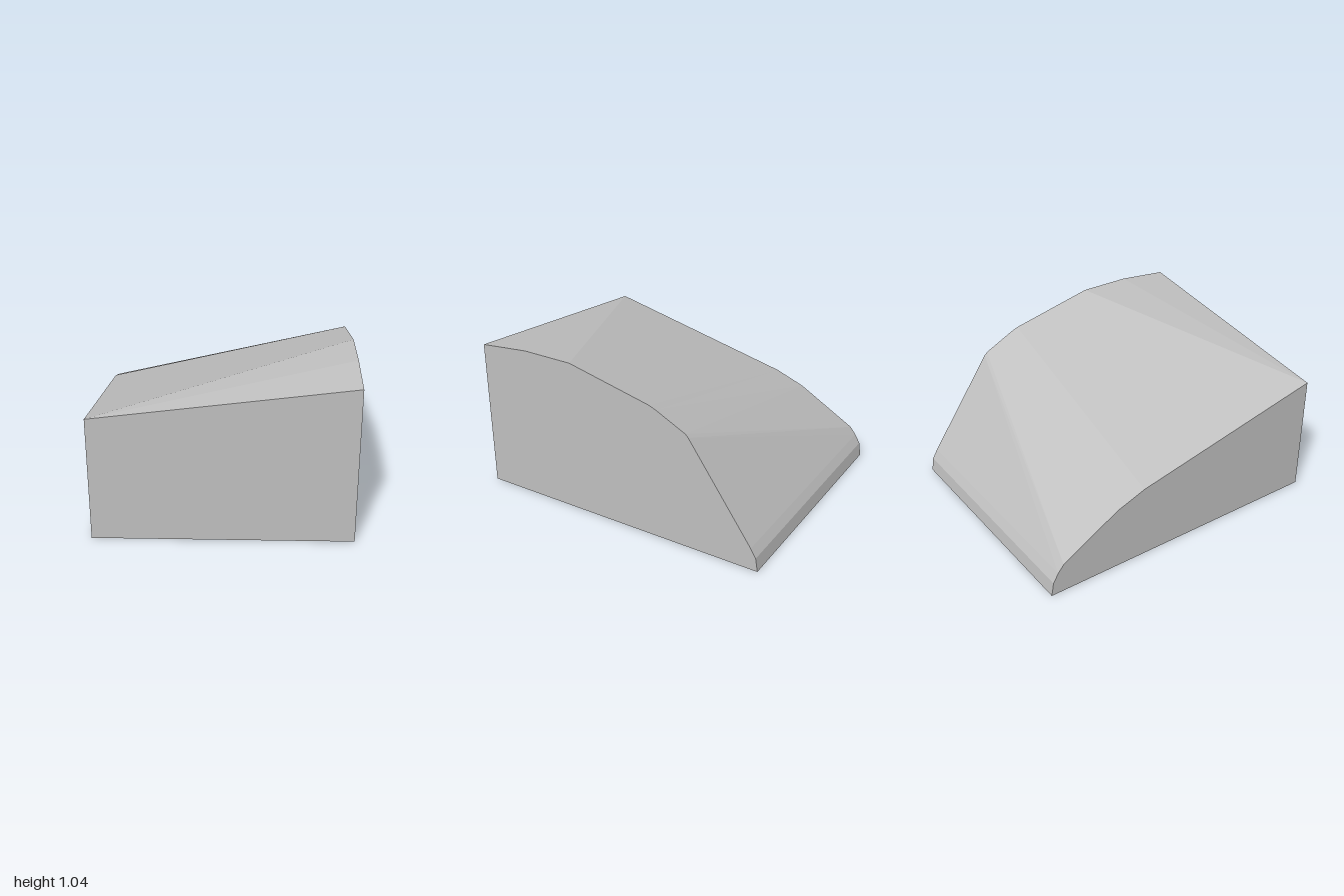
import * as THREE from 'three';

// Matching [z, y] points of the two end outlines, from the front foot over the top to the back foot.
// A repeated point makes the strip between the ends close to a triangle.
const tallEnd = [
  [1, 0], [1, 1.005], [0.66, 1.04], [0.32, 1.04], [-0.25, 0.91],
  [-0.3, 0.89], [-0.5, 0.79], [-0.52, 0.77], [-0.95, 0.15], [-0.985, 0.09], [-1, 0],
];
const lowEnd = [
  [1, 0], [1, 0.8], [1, 0.8], [1, 0.8], [-0.32, 0.5],
  [-0.52, 0.425], [-0.91, 0.2], [-0.95, 0.15], [-0.95, 0.15], [-0.985, 0.09], [-1, 0],
];
const halfWidth = 0.795;

export function createModel() {
  const place = (outline, x) => outline.map(([z, y]) => new THREE.Vector3(x, y, z));
  const p = place(tallEnd, halfWidth);
  const q = place(lowEnd, -halfWidth);
  const positions = [];

  // Adds one flat triangle, skipping those with no area
  const triangle = (a, b, c) => {
    if (new THREE.Triangle(a, b, c).getArea() < 1e-6) return;
    for (const v of [a, b, c]) positions.push(v.x, v.y, v.z);
  };

  const n = p.length;
  for (let i = 0; i < n; i++) {
    const j = (i + 1) % n;
    // Front, twisted top, back and underside
    triangle(p[i], p[j], q[i]);
    triangle(q[i], p[j], q[j]);
    // End walls
    triangle(p[0], p[j], p[i]);
    triangle(q[0], q[i], q[j]);
  }

  const geometry = new THREE.BufferGeometry();
  geometry.setAttribute('position', new THREE.Float32BufferAttribute(positions, 3));
  geometry.computeVertexNormals();

  const grey = new THREE.MeshStandardMaterial({ color: 0xc0c0c0 });
  grey.name = 'light grey';
  const block = new THREE.Mesh(geometry, grey);
  block.name = 'slopedBlock';

  const group = new THREE.Group();
  group.name = 'twistedWedge';
  group.add(block);
  return group;
}
